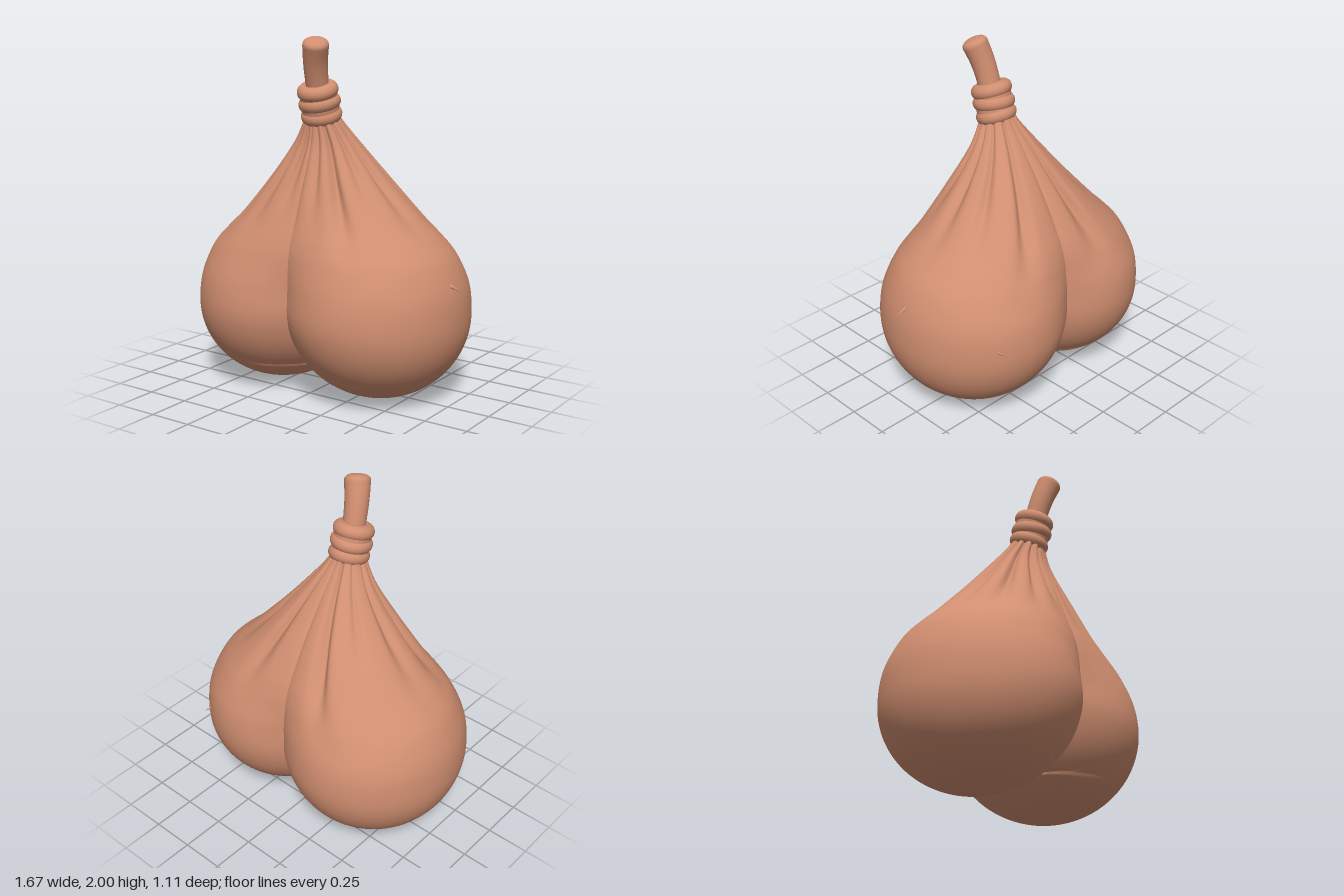
import * as THREE from 'three';
import { mergeVertices } from 'three/addons/utils/BufferGeometryUtils.js';

const clay = new THREE.MeshStandardMaterial({ color: 0xd08e70 });
clay.name = 'terracotta cloth';

// Lobe sections from bottom to neck: y, outer x, centre x, front z, back z
const sections = [];
for (let deg = 0; deg <= 90; deg += 15) {
  const phi = THREE.MathUtils.degToRad(deg), r = Math.sin(phi), y = 0.5 * (1 - Math.cos(phi));
  const cx = 0.31 + 0.03 * Math.cos(phi);
  sections.push([y, cx + 0.51 * r, cx, 0.555 * r, -0.55 * r]);
}
sections.push(
  [0.65, 0.8, 0.31, 0.53, -0.53], [0.8, 0.735, 0.285, 0.47, -0.465], [0.9, 0.645, 0.245, 0.42, -0.415],
  [1, 0.537, 0.195, 0.37, -0.36], [1.2, 0.35, 0.11, 0.285, -0.235], [1.4, 0.192, 0.045, 0.212, -0.1],
  [1.54, 0.1, 0.015, 0.197, 0], [1.6, 0.085, 0.01, 0.19, 0.03]);
const curveOf = (pick) => new THREE.CatmullRomCurve3(
  sections.map((s) => new THREE.Vector3(...pick(s))), false, 'catmullrom', 0.5);
const sideCurve = curveOf(([y, out, cx]) => [out, y, cx]);
const depthCurve = curveOf(([y, , , zf, zb]) => [zf, y, zb]);

// Gathered folds: position round the lobe (-1 back seam to 1 front seam), depth, lowest y
const foldsLeft = [[0.82, 0.12, 0.9], [0.58, 0.2, 0.78], [0.3, 0.14, 0.95],
  [0.04, 0.18, 0.85], [-0.28, 0.17, 0.85], [-0.66, 0.17, 0.75]];
const foldsRight = [[0.86, 0.17, 0.95], [0.6, 0.14, 0.85], [0.32, 0.2, 0.8],
  [0.04, 0.17, 0.85], [-0.34, 0.12, 0.95], [-0.72, 0.2, 0.72]];

function lobe(side, folds) {
  const { smoothstep } = THREE.MathUtils;
  const rows = 120, cols = 120, pos = [], index = [];
  for (let i = 0; i <= rows; i++) {
    const p = sideCurve.getPoint(i / rows), d = depthCurve.getPoint(i / rows);
    const y = Math.max(p.y, 0), cx = p.z, a = Math.max(p.x - cx, 0);
    const cz = (d.x + d.z) / 2, b = (d.x - d.z) / 2;
    // closed rings at the bottom, then open ones ending at the seam between the lobes
    const reach = a > cx * 1.15 ? Math.acos(-cx / a) : Math.PI;
    // soften the seam towards the neck
    const soft = smoothstep(y, 0.4, 0.95);
    const filletWidth = (0.12 + 0.18 * soft) * a;
    const fillet = soft * filletWidth * b * cx / (a * a * Math.sin(reach) + 1e-6);
    for (let j = 0; j <= cols; j++) {
      const u = (j / cols) * 2 - 1, t = u * reach;
      let swell = 0;
      for (const [at, depth, low] of folds) {
        const fade = smoothstep(y, low, low + 0.45);
        const w = 0.055 + 0.03 * (1 - fade);
        swell -= fade * depth * (Math.exp(-(((u - at) / w) ** 2)) - 0.06);
      }
      const k = 1 + swell * (1 - u ** 16);
      const x = Math.max(cx + a * k * Math.cos(t), 0);
      const lift = fillet > 0 ? fillet * Math.exp(-x / filletWidth) * Math.sin(t) : 0;
      pos.push(side * x, y, cz + b * k * Math.sin(t) + lift);
      if (i < rows && j < cols) {
        const n = i * (cols + 1) + j, m = n + cols + 1;
        if (side > 0) index.push(n, m, n + 1, n + 1, m, m + 1);
        else index.push(n, n + 1, m, n + 1, m + 1, m);
      }
    }
  }
  let g = new THREE.BufferGeometry();
  g.setAttribute('position', new THREE.Float32BufferAttribute(pos, 3));
  g.setIndex(index);
  g = mergeVertices(g, 1e-5);
  g.computeVertexNormals();
  return g;
}

// Bent neck of cloth, flaring to a rounded tip
function stemGeometry() {
  const path = new THREE.CatmullRomCurve3([[-0.005, 1.62, 0.135], [-0.003, 1.75, 0.168],
    [0.01, 1.86, 0.2], [0.043, 1.988, 0.243]].map((p) => new THREE.Vector3(...p)));
  const steps = 90, sides = 28;
  let g = new THREE.TubeGeometry(path, steps, 0.062, sides);
  const at = g.attributes.position, v = new THREE.Vector3();
  for (let i = 0; i <= steps; i++) {
    const t = i / steps, c = path.getPointAt(t);
    const tip = Math.max(0, (t - 0.88) / 0.12);
    const k = (1 + 0.2 * t * t) * Math.pow(Math.max(1 - tip ** 3, 0), 0.5);
    for (let j = 0; j <= sides; j++) {
      const n = i * (sides + 1) + j;
      v.fromBufferAttribute(at, n).sub(c).multiplyScalar(k).add(c);
      at.setXYZ(n, v.x, v.y, v.z);
    }
  }
  g.deleteAttribute('uv');
  g.deleteAttribute('normal');
  g = mergeVertices(g, 1e-5);
  g.computeVertexNormals();
  return g;
}

export function createModel() {
  const model = new THREE.Group();
  const add = (name, geometry, parent = model) => {
    const mesh = new THREE.Mesh(geometry, clay);
    mesh.name = name;
    parent.add(mesh);
    return mesh;
  };

  add('leftLobe', lobe(1, foldsLeft)).position.x = -0.012;
  add('rightLobe', lobe(-1, foldsRight)).position.x = -0.012;
  add('stem', stemGeometry());

  // Tie wound three times round the neck
  const tie = new THREE.Group();
  tie.name = 'tie';
  tie.position.set(-0.01, 1.637, 0.135);
  tie.rotation.x = 0.27;
  model.add(tie);
  add('tieCore', new THREE.CylinderGeometry(0.104, 0.104, 0.15, 40), tie);
  [[-0.07, 0.073, 0.04, -0.05], [0.0, 0.076, -0.04, 0.05], [0.07, 0.073, 0.04, -0.03]].forEach(([y, r, rx, rz], i) => {
    const ring = add('tieWrap' + (i + 1), new THREE.TorusGeometry(r, 0.042, 18, 48).rotateX(Math.PI / 2), tie);
    ring.position.y = y;
    ring.rotation.set(rx, 0, rz);
  });

  // Small loose threads
  [[0.8, 0.68, 0.03, 0, -1.9], [0.552, 0.54, -0.485, -1.5, 0]].forEach(([x, y, z, rx, rz]) => {
    const thread = add('looseThread', new THREE.ConeGeometry(0.012, 0.07, 8));
    thread.position.set(x, y, z);
    thread.rotation.set(rx, 0, rz);
  });
  return model;
}
